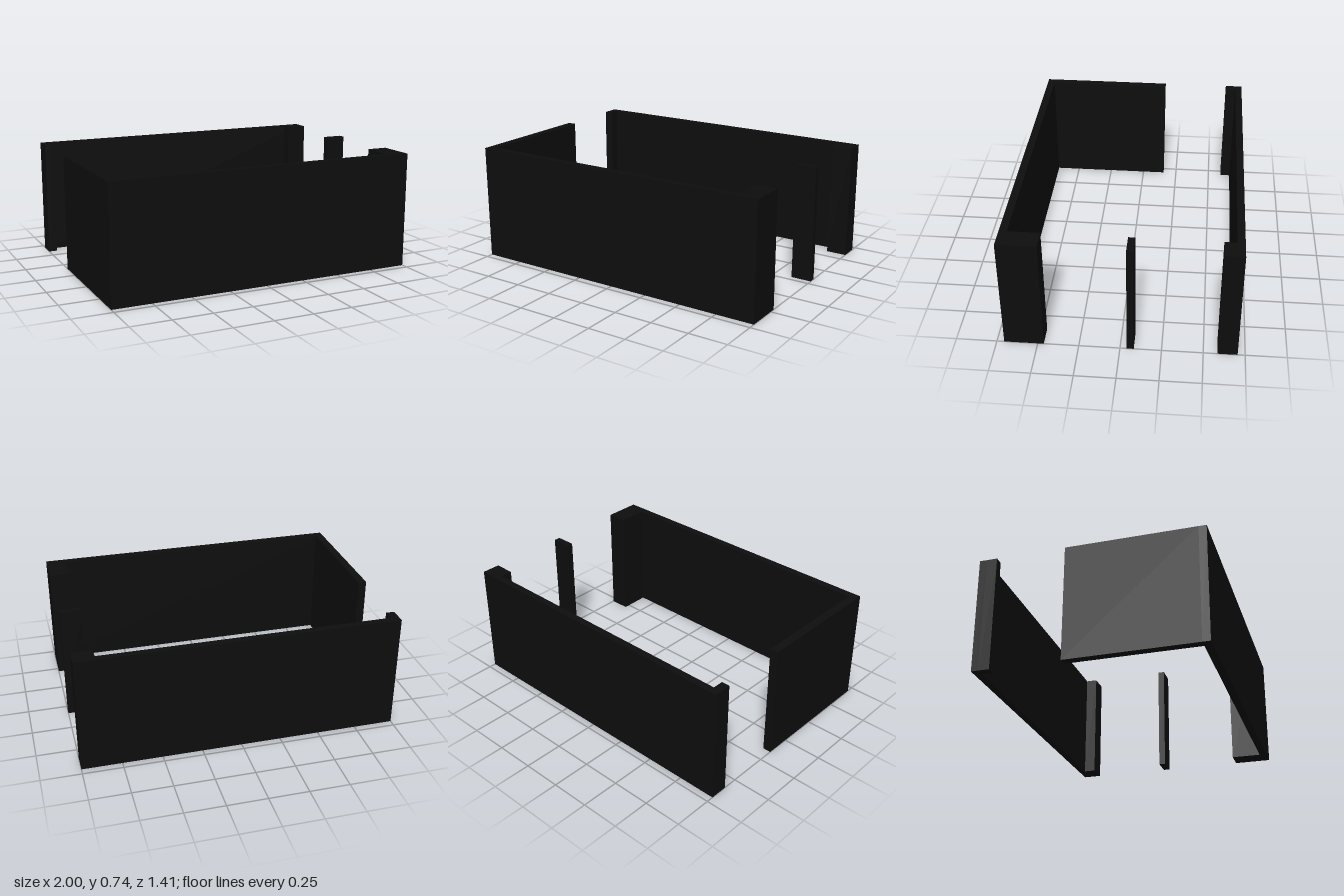
import * as THREE from 'three';

const HEIGHT = 0.74;

export function createModel() {
  const group = new THREE.Group();
  const material = new THREE.MeshStandardMaterial({ color: 0x0d0d0d });

  // Full-height block given by its plan extents
  const addBlock = (name, x0, x1, z0, z1) => {
    const mesh = new THREE.Mesh(new THREE.BoxGeometry(x1 - x0, HEIGHT, z1 - z0), material);
    mesh.name = name;
    mesh.position.set((x0 + x1) / 2, HEIGHT / 2, (z0 + z1) / 2);
    group.add(mesh);
  };

  // Long walls
  addBlock('backWall', -1, 1, -0.705, -0.66);
  addBlock('frontWall', -1, 1, 0.657, 0.705);

  // Right side: wall and short return, with a doorway between them
  addBlock('rightWall', -1, -0.947, -0.155, 0.657);
  addBlock('rightReturn', -1, -0.947, -0.66, -0.592);

  // Left side: corner piers and a slim post between the openings
  addBlock('leftBackPier', 0.868, 1, -0.66, -0.585);
  addBlock('leftPost', 0.868, 1, -0.083, -0.04);
  addBlock('leftFrontPier', 0.868, 1, 0.463, 0.657);

  return group;
}
